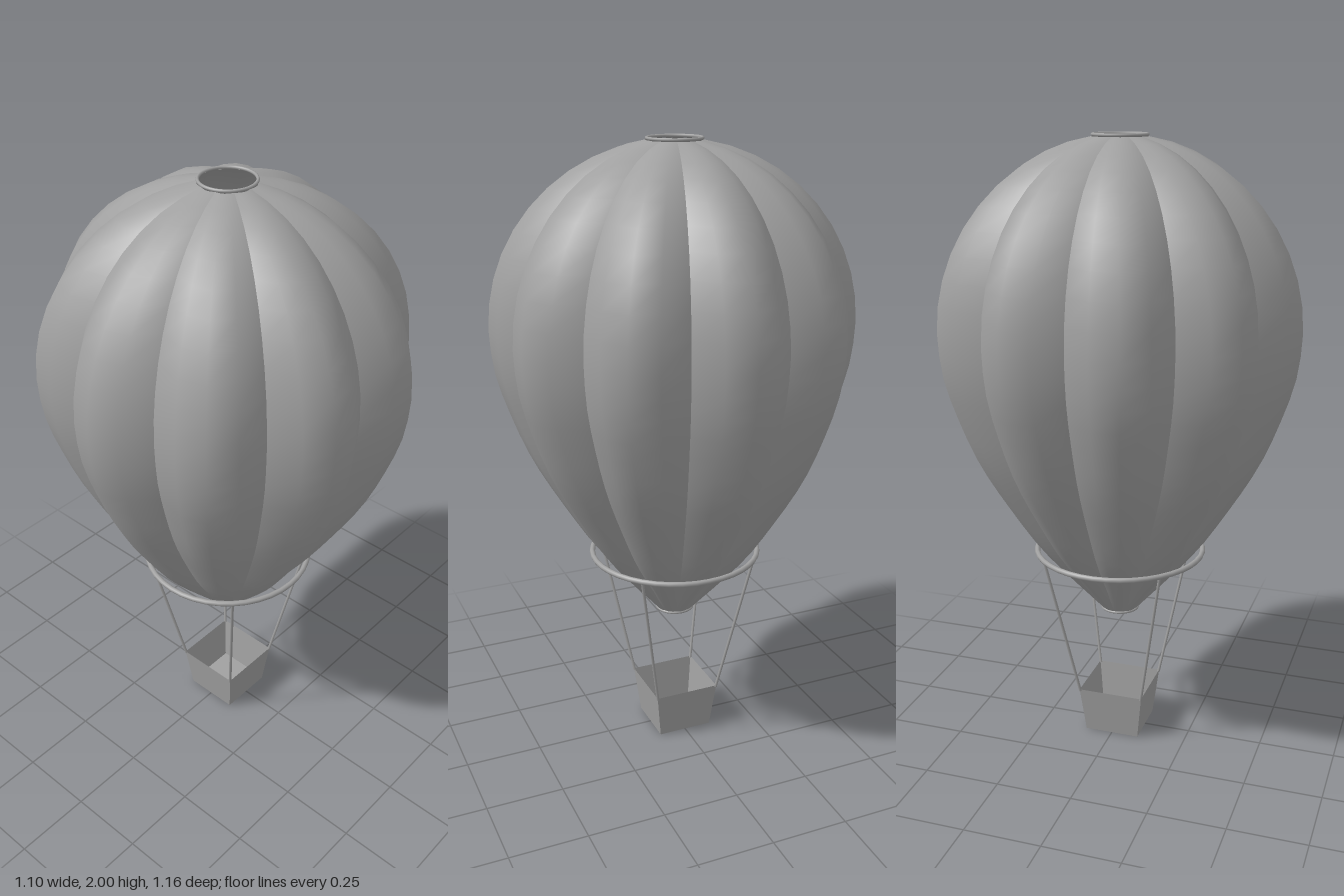
import * as THREE from 'three';

const grey = new THREE.MeshStandardMaterial({ color: 0xa0a0a0, side: THREE.DoubleSide });
grey.name = 'grey';

const GORES = 10;
const ACROSS = 4; // facets across one gore

// Profile along the middle of a gore: tapering skirt, then a round dome
const skirt = new THREE.SplineCurve([
  [0.06, 0.443], [0.245, 0.65], [0.35, 0.8], [0.467, 1.0], [0.548, 1.21], [0.573, 1.32], [0.58, 1.42],
].map(([r, y]) => new THREE.Vector2(r, y)));
const profile = skirt.getSpacedPoints(16);
const DOME_END = Math.acos(0.088 / 0.58);
for (let i = 1; i <= 10; i++) {
  const a = DOME_END * i / 10;
  profile.push(new THREE.Vector2(0.58 * Math.cos(a), 1.42 + 0.576 * Math.sin(a)));
}

function add(parent, name, geometry) {
  const mesh = new THREE.Mesh(geometry, grey);
  mesh.name = name;
  parent.add(mesh);
  return mesh;
}

// One fabric gore: drawn in towards its two seams, less so at the openings
function goreGeometry() {
  const positions = [];
  const index = [];
  profile.forEach((p, i) => {
    const tuck = 0.138 * THREE.MathUtils.smoothstep(p.x, 0.03, 0.16);
    for (let j = 0; j <= ACROSS; j++) {
      const u = j / ACROSS;
      const r = p.x * (1 - tuck * (1 - Math.sin(Math.PI * u)));
      const a = (u - 0.5) * (Math.PI * 2 / GORES);
      positions.push(r * Math.sin(a), p.y, r * Math.cos(a));
      if (i < profile.length - 1 && j < ACROSS) {
        const k = i * (ACROSS + 1) + j;
        const up = k + ACROSS + 1;
        index.push(k, k + 1, up + 1, k, up + 1, up);
      }
    }
  });
  const g = new THREE.BufferGeometry();
  g.setAttribute('position', new THREE.Float32BufferAttribute(positions, 3));
  g.setIndex(index);
  g.computeVertexNormals();
  return g;
}

// Round hoop lying flat
function hoop(parent, name, radius, tube, y) {
  const mesh = add(parent, name, new THREE.TorusGeometry(radius, tube, 8, 40));
  mesh.rotation.x = Math.PI / 2;
  mesh.position.y = y;
}

function rod(parent, name, from, to, radius) {
  const dir = to.clone().sub(from);
  const mesh = add(parent, name, new THREE.CylinderGeometry(radius, radius, dir.length(), 8));
  mesh.position.copy(from).add(to).multiplyScalar(0.5);
  mesh.quaternion.setFromUnitVectors(new THREE.Vector3(0, 1, 0), dir.normalize());
}

export function createModel() {
  const model = new THREE.Group();
  model.name = 'hotAirBalloon';

  // Envelope, open at mouth and crown
  const envelope = new THREE.Group();
  envelope.name = 'envelope';
  model.add(envelope);
  const gore = goreGeometry();
  for (let i = 0; i < GORES; i++) {
    add(envelope, 'gore', gore).rotation.y = i * Math.PI * 2 / GORES;
  }
  hoop(envelope, 'crownRing', 0.084, 0.005, 1.995);
  hoop(envelope, 'mouthRing', 0.06, 0.005, 0.442);

  // Load ring around the lower envelope
  hoop(model, 'loadRing', 0.277, 0.009, 0.655);

  // Open basket, wider at the top
  const basket = new THREE.Group();
  basket.name = 'basket';
  model.add(basket);
  const walls = new THREE.CylinderGeometry(0.11 * Math.SQRT2, 0.092 * Math.SQRT2, 0.157, 4, 1, true)
    .toNonIndexed();
  walls.computeVertexNormals();
  walls.rotateY(Math.PI / 4);
  add(basket, 'basketWalls', walls).position.y = 0.0785;
  const floor = add(basket, 'basketFloor', new THREE.BoxGeometry(0.184, 0.004, 0.184));
  floor.position.y = 0.002;

  // Ropes from basket corners to the load ring
  for (const x of [-1, 1]) {
    for (const z of [-1, 1]) {
      rod(model, 'rope', new THREE.Vector3(0.108 * x, 0.152, 0.108 * z),
        new THREE.Vector3(0.196 * x, 0.655, 0.196 * z), 0.005);
    }
  }
  return model;
}
